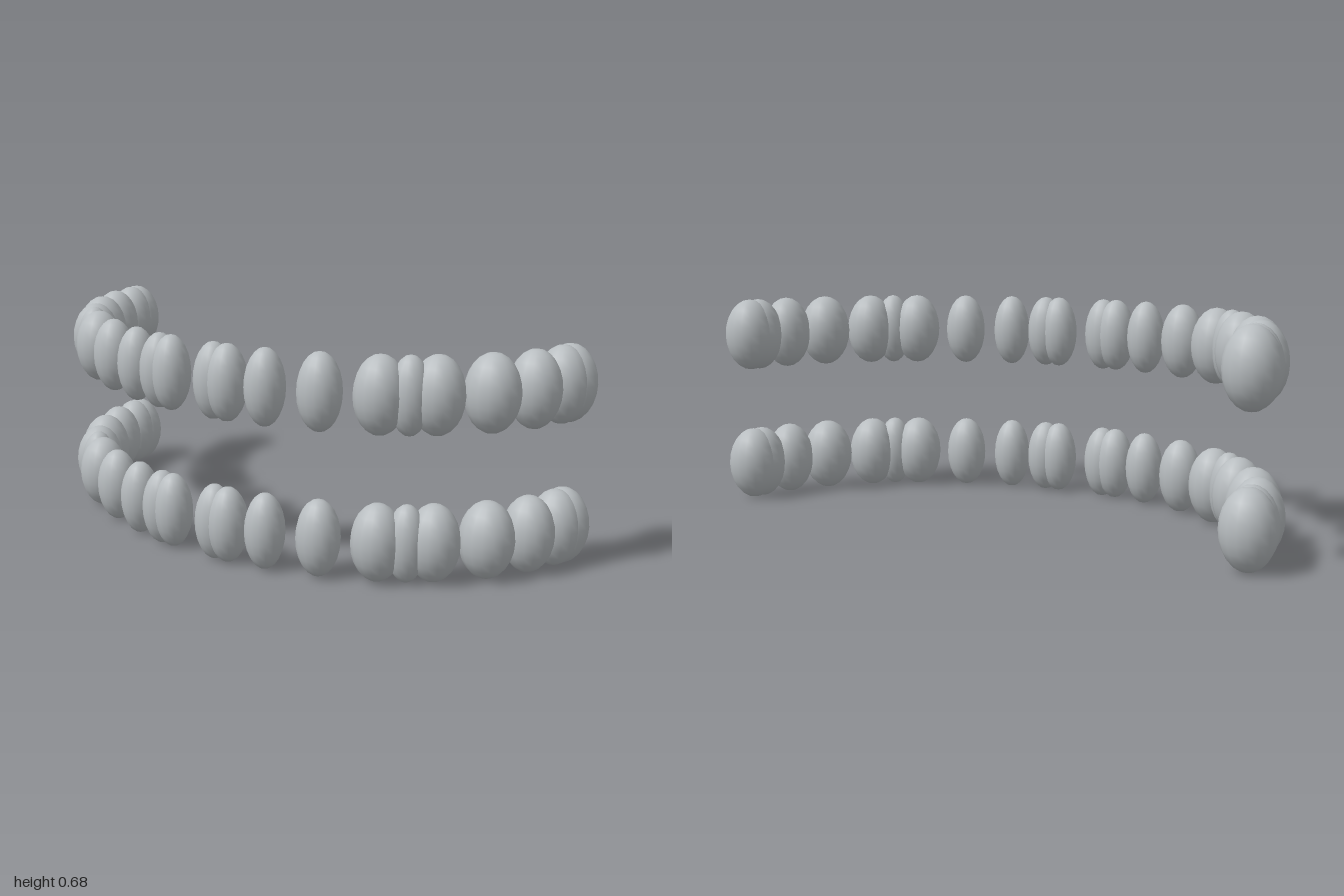
import * as THREE from 'three';

// One half of the arch, from the middle to the back: x, z, half width, half depth
const HALF_ARCH = [
  [0.088, 0.338, 0.062, 0.062],
  [0.140, 0.335, 0.062, 0.065],
  [0.266, 0.310, 0.062, 0.064],
  [0.427, 0.256, 0.069, 0.067],
  [0.583, 0.176, 0.079, 0.080],
  [0.655, 0.130, 0.060, 0.061],
  [0.712, 0.073, 0.080, 0.081],
  [0.815, -0.053, 0.084, 0.084],
  [0.880, -0.180, 0.080, 0.080],
  [0.909, -0.288, 0.080, 0.078],
  [0.915, -0.322, 0.083, 0.081],
];
const HALF_HEIGHT = 0.119;

export function createModel() {
  const model = new THREE.Group();
  model.name = 'dentalArches';

  const toothGrey = new THREE.MeshStandardMaterial({ color: 0xb8bdc0 });
  toothGrey.name = 'toothGrey';
  const toothShape = new THREE.SphereGeometry(1, 16, 12);

  // A full arch: each tooth is an upright ellipsoid, mirrored across x
  function buildArch(name, y) {
    const arch = new THREE.Group();
    arch.name = name;
    arch.position.y = y;
    HALF_ARCH.forEach(([x, z, rx, rz], i) => {
      for (const side of [1, -1]) {
        const tooth = new THREE.Mesh(toothShape, toothGrey);
        tooth.name = `${side > 0 ? 'left' : 'right'}Tooth${i + 1}`;
        tooth.position.set(side * x, 0, z);
        tooth.scale.set(rx, HALF_HEIGHT, rz);
        arch.add(tooth);
      }
    });
    return arch;
  }

  model.add(buildArch('lowerArch', 0.121), buildArch('upperArch', 0.563));
  return model;
}
